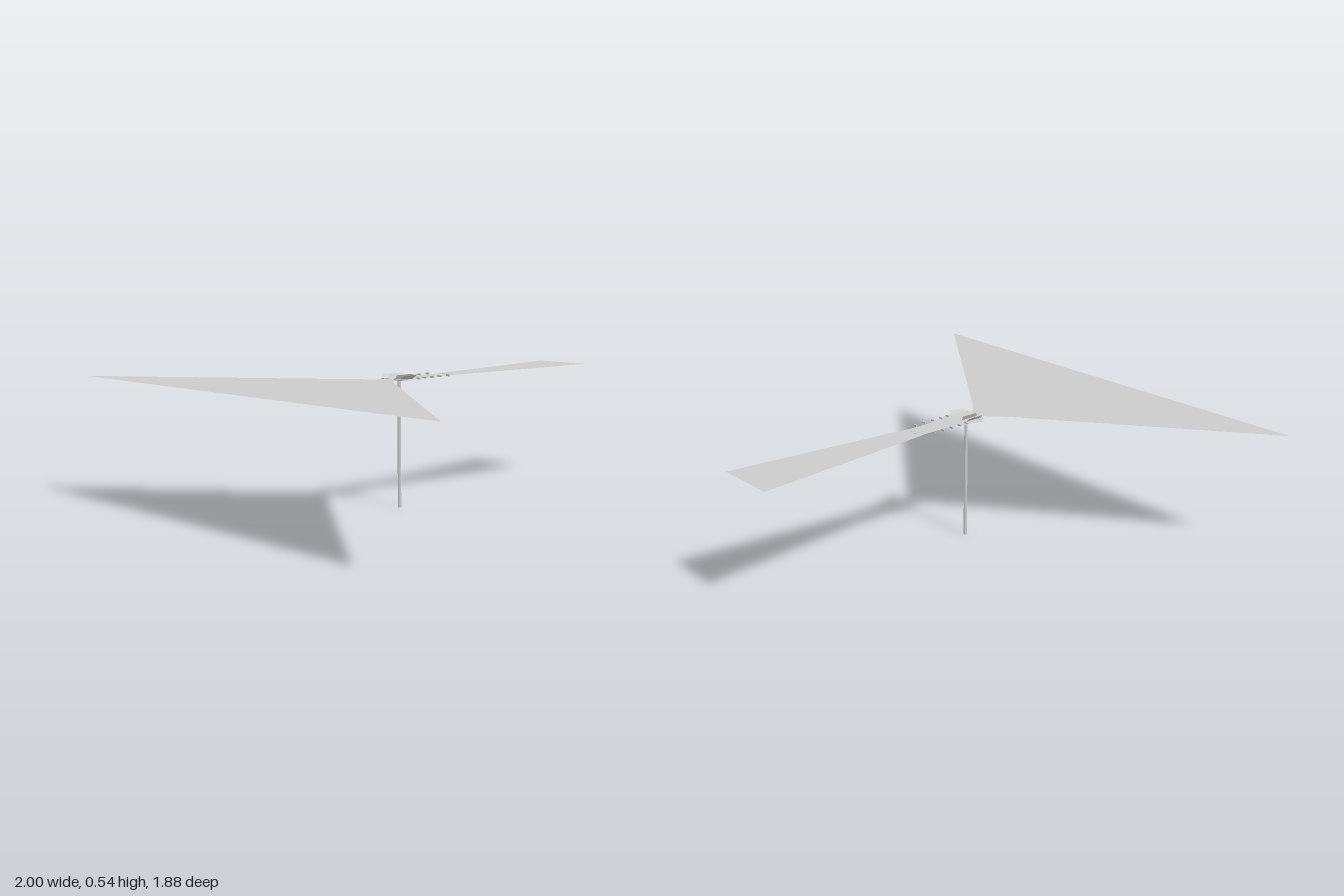
import * as THREE from 'three';

const material = new THREE.MeshStandardMaterial({ color: 0xcccccc, side: THREE.DoubleSide, flatShading: true });
const DECK = 0.525;

export function createModel() {
  const model = new THREE.Group();

  const add = (name, geometry, x = 0, y = 0, z = 0) => {
    const mesh = new THREE.Mesh(geometry, material);
    mesh.name = name;
    mesh.position.set(x, y, z);
    model.add(mesh);
    return mesh;
  };

  // Flat horizontal sheet, mirrored from its right-hand outline of [x, z] points
  const sheet = (name, half, y = DECK) => {
    const mirrored = half.map(([x, z]) => [-x, z]).reverse();
    const outline = [...half, ...mirrored].map(([x, z]) => new THREE.Vector2(x, -z));
    add(name, new THREE.ShapeGeometry(new THREE.Shape(outline)).rotateX(-Math.PI / 2), 0, y, 0);
  };

  // Slender supporting pole
  add('pole', new THREE.CylinderGeometry(0.007, 0.007, DECK, 8), 0, DECK / 2, 0.125);

  // Large front sheet, narrow tail sheet and the stepped deck between them
  sheet('frontFan', [[0.99999, 0.938], [0.115, 0.265], [0.06, 0.215], [0.015, 0.165]]);
  sheet('tailFan', [[0.046, -0.14], [0.127, -0.938]]);
  sheet('deck', [
    [0.055, 0.15], [0.088, 0.15], [0.07, 0.11], [0.067, 0.04], [0.043, 0.04], [0.043, -0.14],
  ]);

  // Leaning side plates of the head, with short front feet
  const plate = (side, x0, x1) => {
    const corners = [[x0, DECK, 0.17], [x0, DECK, 0.09], [x1, 0.543, 0.085], [x1, 0.543, 0.158]];
    const positions = corners.flatMap(([x, y, z]) => [side * x, y, z]);
    const geometry = new THREE.BufferGeometry();
    geometry.setAttribute('position', new THREE.Float32BufferAttribute(positions, 3));
    geometry.setIndex([0, 1, 2, 0, 2, 3]);
    geometry.computeVertexNormals();
    add('headPlate', geometry);
  };

  for (const side of [-1, 1]) {
    plate(side, 0.014, 0.024);
    plate(side, 0.04, 0.062);
    add('frontFoot', new THREE.BoxGeometry(0.04, 0.004, 0.018), side * 0.038, DECK, 0.159);

    // Small pegs along both sides and at the rear of the deck
    for (const z of [0.075, 0.038, -0.005, -0.05, -0.098]) {
      add('sidePeg', new THREE.BoxGeometry(0.018, 0.007, 0.005), side * 0.058, DECK + 0.002, z);
    }
    add('rearPeg', new THREE.BoxGeometry(0.005, 0.005, 0.018), side * 0.012, DECK, -0.148);
  }
  return model;
}
